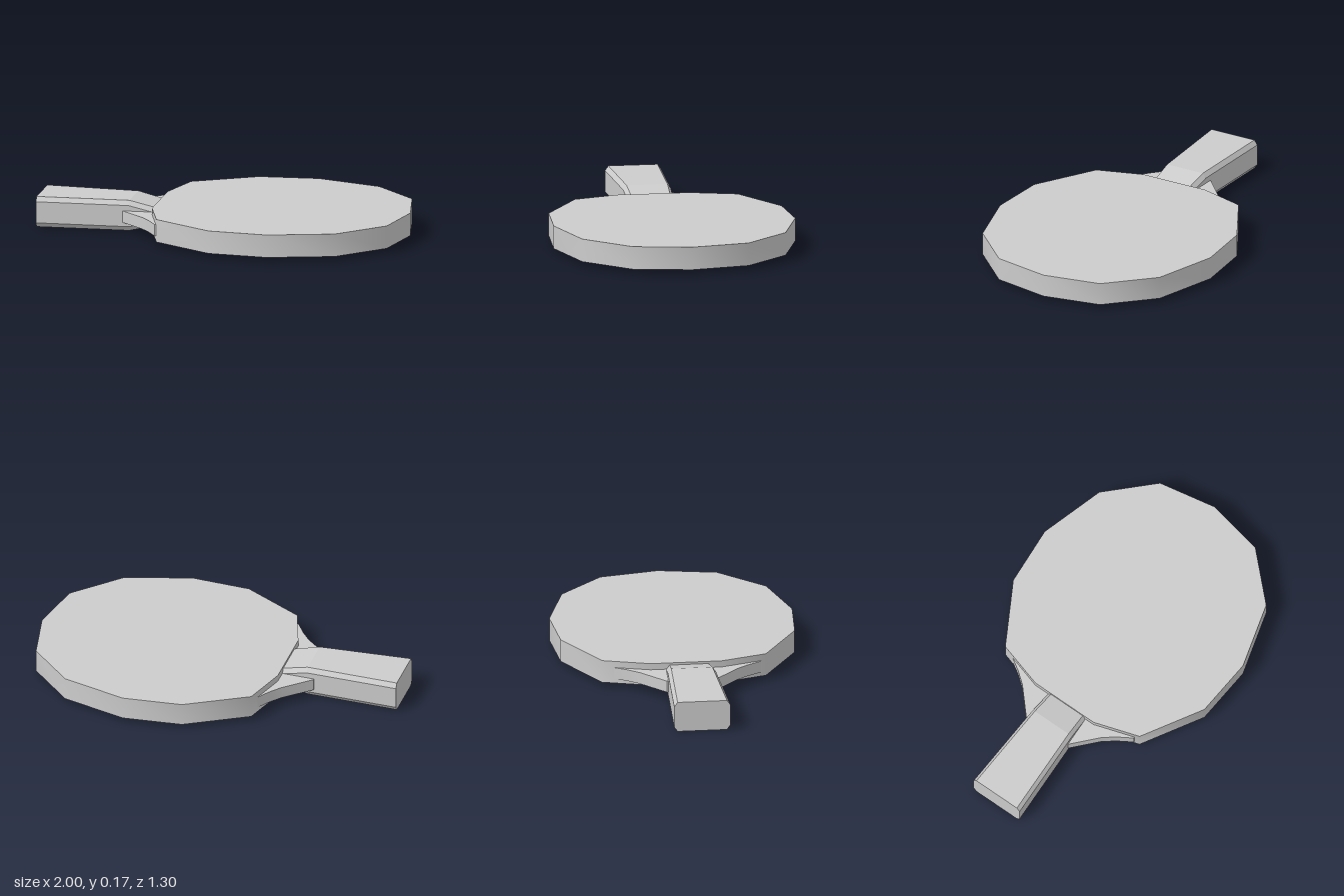
import * as THREE from 'three';
import { toCreasedNormals } from 'three/addons/utils/BufferGeometryUtils.js';

// Extrude an outline of [x, z] points upward from y0 to y1
function slab(points, y0, y1, crease) {
  const shape = new THREE.Shape(points.map(([x, z]) => new THREE.Vector2(x, -z)));
  const geo = new THREE.ExtrudeGeometry(shape, { depth: y1 - y0, bevelEnabled: false });
  geo.rotateX(-Math.PI / 2).translate(0, y0, 0);
  return toCreasedNormals(geo, crease);
}

// Closed solid through rings of equal point count, ordered along +x
function loft(rings) {
  const pos = [];
  const tri = (a, b, c) => pos.push(...a, ...b, ...c);
  const n = rings[0].length;
  for (let r = 0; r < rings.length - 1; r++) {
    for (let i = 0; i < n; i++) {
      const j = (i + 1) % n;
      const a = rings[r][i], b = rings[r][j], c = rings[r + 1][j], d = rings[r + 1][i];
      tri(a, d, c);
      tri(a, c, b);
    }
  }
  const first = rings[0], last = rings[rings.length - 1];
  for (let i = 1; i < n - 1; i++) {
    tri(first[0], first[i], first[i + 1]);
    tri(last[0], last[i + 1], last[i]);
  }
  const geo = new THREE.BufferGeometry();
  geo.setAttribute('position', new THREE.Float32BufferAttribute(pos, 3));
  geo.computeVertexNormals();
  return geo;
}

// Rectangle with chamfered corners, in the plane at x
function handleSection(x, halfWidth, halfHeight) {
  const cz = 0.015, cy = 0.0825, dz = 0.018, dy = 0.025;
  const w = halfWidth, h = halfHeight;
  return [
    [w, -h + dy], [w, h - dy], [w - dz, h], [-w + dz, h],
    [-w, h - dy], [-w, -h + dy], [-w + dz, -h], [w - dz, -h],
  ].map(([z, y]) => [x, cy + y, cz + z]);
}

export function createModel() {
  const group = new THREE.Group();
  const grey = new THREE.MeshStandardMaterial({ color: 0xcccccc });
  grey.name = 'light grey';

  const add = (name, geo) => {
    const mesh = new THREE.Mesh(geo, grey);
    mesh.name = name;
    group.add(mesh);
  };

  // Round blade with a smooth rim
  add('blade', slab([
    [1, 0], [0.94, -0.313], [0.71, -0.545], [0.36, -0.65], [0.04, -0.625],
    [-0.29, -0.44], [-0.363, -0.19], [-0.363, 0.19], [-0.285, 0.435],
    [0.04, 0.625], [0.36, 0.647], [0.71, 0.547], [0.94, 0.31],
  ], 0.022, 0.145, 0.9));

  // Chamfered handle, tapering into the blade
  add('handle', loft([
    handleSection(-1, 0.15, 0.0825),
    handleSection(-0.5, 0.128, 0.0825),
    handleSection(-0.3, 0.119, 0.035),
  ]));

  // Flared shoulders joining handle and blade
  for (const side of [1, -1]) {
    const cz = 0.008;
    const outline = [
      [-0.54, 0.05], [-0.54, 0.13], [-0.4, 0.257], [-0.35, 0.32],
      [-0.3, 0.4], [-0.25, 0.4], [-0.25, 0.05],
    ].map(([x, z]) => [x, cz * Math.sign(z) + side * z]);
    add(side > 0 ? 'frontShoulder' : 'backShoulder', slab(outline, 0.047, 0.11, 0.5));
  }

  return group;
}
